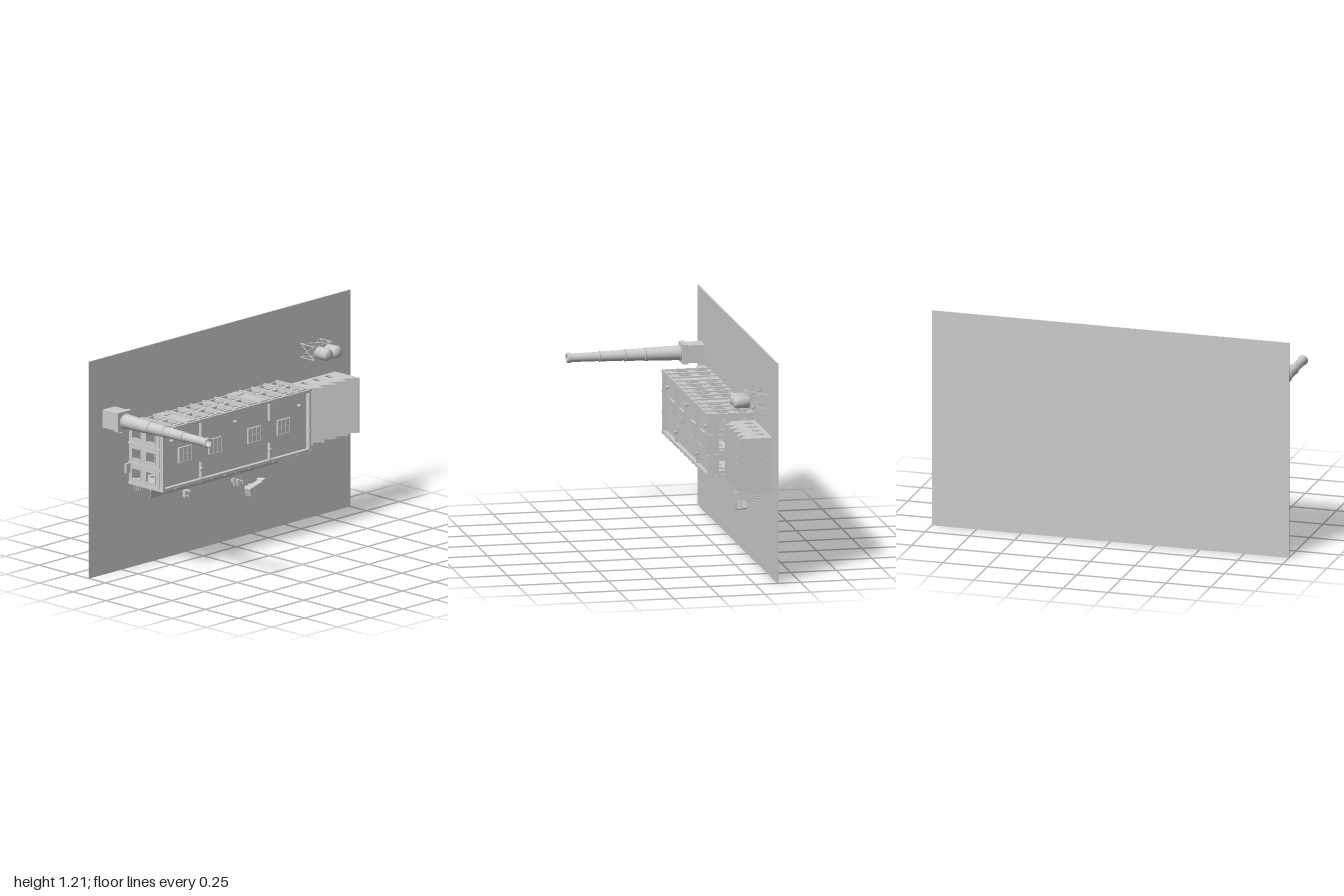
import * as THREE from 'three';

const grey = new THREE.MeshStandardMaterial({ color: 0xcccccc, side: THREE.DoubleSide });
grey.name = 'model grey';
const G = -0.371; // site surface; heights run along +z
const X0 = -0.694, X1 = 0.431, Y0 = 0.476, Y1 = 0.811; // main hall outline
const TOP = -0.112, ROOF = -0.135;
const ROWS = [[-0.345, -0.286], [-0.24, -0.176]];

export function createModel() {
  const root = new THREE.Group();
  root.name = 'factorySite';

  function group(name, parent = root) {
    const g = new THREE.Group();
    g.name = name;
    parent.add(g);
    return g;
  }
  function add(parent, name, geo) {
    const m = new THREE.Mesh(geo, grey);
    m.name = name;
    parent.add(m);
    return m;
  }
  // Box from its limits on each axis
  function box(p, name, x0, x1, y0, y1, z0, z1) {
    const g = new THREE.BoxGeometry(x1 - x0, y1 - y0, z1 - z0);
    g.translate((x0 + x1) / 2, (y0 + y1) / 2, (z0 + z1) / 2);
    return add(p, name, g);
  }
  // Upright (along z) round part from [radius, height] points
  function turned(p, name, x, y, pts, seg = 24) {
    const g = new THREE.LatheGeometry(pts.map(([r, h]) => new THREE.Vector2(r, h)), seg);
    g.rotateX(Math.PI / 2);
    g.translate(x, y, 0);
    return add(p, name, g);
  }
  // Thin bar between two points
  function bar(p, name, a, b, t = 0.004) {
    const A = new THREE.Vector3(...a), B = new THREE.Vector3(...b);
    const m = add(p, name, new THREE.BoxGeometry(t, t, A.distanceTo(B)));
    m.position.copy(A).add(B).multiplyScalar(0.5);
    m.lookAt(B);
    return m;
  }
  // Pierced wall: outline and [u0, u1, z0, z1] openings; along 'x' or along 'y'
  function wall(p, name, outline, holes, axis, at, t) {
    const s = new THREE.Shape(outline.map(([u, v]) => new THREE.Vector2(u, v)));
    for (const [a, b, c, d] of holes) {
      s.holes.push(new THREE.Path([[a, c], [a, d], [b, d], [b, c]].map(q => new THREE.Vector2(...q))));
    }
    const g = new THREE.ExtrudeGeometry(s, { depth: t, bevelEnabled: false });
    if (axis === 'x') { g.rotateX(Math.PI / 2); g.translate(0, at + t, 0); }
    else {
      g.applyMatrix4(new THREE.Matrix4().makeBasis(
        new THREE.Vector3(0, 1, 0), new THREE.Vector3(0, 0, 1), new THREE.Vector3(1, 0, 0)));
      g.translate(at, 0, 0);
    }
    return add(p, name, g);
  }
  const rect = (a, b, c, d) => [[a, c], [b, c], [b, d], [a, d]];

  box(root, 'sitePlate', -1, 1, 0, 1.207, -0.378, G);

  // Main hall: pierced walls with window surrounds, pilasters and cornice
  const hall = group('mainHall');
  const T = 0.01;
  function facade(axis, u0, u1, bays, at, out, blank) {
    const step = (u1 - u0) / bays, holes = [];
    const put = (name, a, b, d0, d1, z0, z1) => {
      const lo = Math.min(at + out * d0, at + out * d1), hi = Math.max(at + out * d0, at + out * d1);
      if (axis === 'x') box(hall, name, a, b, lo, hi, z0, z1);
      else box(hall, name, lo, hi, a, b, z0, z1);
    };
    for (let i = 0; i < bays; i++) {
      const c = u0 + step * (i + 0.5), w = axis === 'x' ? 0.0195 : 0.027;
      if (blank.includes(i)) {
        put('loadingDoor', c - 0.025, c + 0.025, 0, 0.005, G, -0.315);
        continue;
      }
      for (const [a, b] of ROWS) {
        holes.push([c - w, c + w, a, b]);
        put('windowSill', c - w - 0.005, c + w + 0.005, 0, 0.006, a - 0.006, a);
        put('windowLintel', c - w - 0.005, c + w + 0.005, 0, 0.004, b, b + 0.005);
        for (const s of [-1, 1]) {
          put('windowJamb', c + s * (w + 0.002) - 0.002, c + s * (w + 0.002) + 0.002, 0, 0.004, a, b);
        }
      }
    }
    wall(hall, 'hallWall', rect(u0, u1, G, TOP), holes, axis, out > 0 ? at - T : at, T);
    for (let i = 0; i <= bays; i++) {
      const c = u0 + step * i;
      put('pilaster', c - 0.006, c + 0.006, 0, 0.008, G, TOP + 0.002);
    }
    put('cornice', u0, u1, 0, 0.005, -0.146, -0.139);
    put('parapetCap', u0, u1, -T, 0.005, TOP - 0.005, TOP);
  }
  facade('x', X0, X1, 12, Y1, 1, [2, 8]);
  facade('x', X0, X1, 12, Y0, -1, [2, 8]);
  facade('y', Y0, Y1, 3, X0, -1, []);
  facade('y', Y0, Y1, 3, X1, 1, []);
  box(hall, 'roof', X0, X1, Y0, Y1, ROOF - 0.008, ROOF);

  // Roof fittings
  const fittings = group('roofFittings');
  for (const x of [-0.515, -0.285, 0.015, 0.24]) {
    const y = 0.645, h = 0.048;
    box(fittings, 'skylight', x - h, x + h, y - 0.042, y + 0.042, ROOF, ROOF + 0.009);
    for (let i = 0; i < 4; i++) {
      const u = x - h + 0.002 + i * (h - 0.002) * 2 / 3;
      box(fittings, 'skylightBar', u - 0.002, u + 0.002, y - 0.042, y + 0.042, ROOF, ROOF + 0.013);
    }
    for (let i = 0; i < 3; i++) {
      const v = y - 0.04 + i * 0.04;
      box(fittings, 'skylightBar', x - h, x + h, v - 0.002, v + 0.002, ROOF, ROOF + 0.013);
    }
  }
  for (const [x, y] of [[-0.62, 0.738], [-0.135, 0.748], [0.355, 0.738], [-0.397, 0.54], [0.13, 0.54]]) {
    turned(fittings, 'roofVent', x, y,
      [[0.006, ROOF], [0.006, ROOF + 0.012], [0.011, ROOF + 0.012], [0.009, ROOF + 0.02], [0, ROOF + 0.023]], 12);
  }
  for (const x of [-0.397, 0.13]) {
    box(fittings, 'firewallStub', x - 0.004, x + 0.004, 0.7, Y1, ROOF, ROOF + 0.018);
    box(fittings, 'firewallStub', x - 0.004, x + 0.004, Y0, 0.575, ROOF, ROOF + 0.018);
  }

  // Saw-tooth annex
  const annex = group('sawtoothAnnex');
  const SX0 = 0.437, SX1 = 0.885, SY0 = 0.47, SY1 = 0.775, LOW = -0.247, HIGH = -0.188;
  const pitch = (SX1 - SX0) / 5, teeth = [];
  for (let i = 0; i < 5; i++) teeth.push([SX0 + i * pitch, LOW], [SX0 + (i + 1) * pitch, HIGH]);
  const profile = [...teeth, [SX1, G], [SX0, G]];
  const openings = [0.51, 0.603, 0.697, 0.79].map(x => [x - 0.016, x + 0.016, -0.345, -0.297]);
  for (const y of [SY0, SY1 - 0.008]) wall(annex, 'annexSideWall', profile, openings, 'x', y, 0.008);
  const under = teeth.map(([x, z]) => [x - 0.004, z - 0.006]).reverse();
  under[under.length - 1][0] = SX0;
  wall(annex, 'sawtoothRoof', [...teeth, ...under], [], 'x', SY0, SY1 - SY0);
  box(annex, 'annexEndWall', SX1 - 0.008, SX1, SY0, SY1, G, HIGH);
  box(annex, 'annexDoor', SX1, SX1 + 0.003, 0.596, 0.653, -0.367, -0.303);
  box(annex, 'annexDoorRail', SX1, SX1 + 0.005, 0.596, 0.653, -0.337, -0.334);
  for (let i = 1; i < 5; i++) {
    const x = SX0 + i * pitch;
    for (let k = 0; k <= 10; k++) {
      const y = SY0 + 0.002 + k * (SY1 - SY0 - 0.004) / 10;
      box(annex, 'glazingBar', x, x + 0.002, y - 0.0015, y + 0.0015, LOW, HIGH - 0.002);
    }
  }

  // Chimney: square plinth and tapering, banded shaft
  const stack = group('chimney');
  const cx = -0.852, cy = 0.872;
  box(stack, 'plinth', -0.9, -0.804, 0.822, 0.92, G, -0.252);
  box(stack, 'plinthCap', -0.905, -0.799, 0.818, 0.925, -0.275, -0.247);
  turned(stack, 'shaft', cx, cy, [[0.04, -0.247], [0.035, -0.05], [0.033, -0.05], [0.031, 0.06],
    [0.029, 0.06], [0.027, 0.2], [0.025, 0.2], [0.023, 0.352], [0.028, 0.362], [0.028, 0.374],
    [0.025, 0.379], [0.019, 0.379], [0.019, 0.3], [0, 0.3]], 32);
  for (const [z, r] of [[-0.24, 0.043], [-0.05, 0.037], [0.06, 0.033], [0.2, 0.029]]) {
    turned(stack, 'shaftBand', cx, cy, [[r - 0.006, z - 0.003], [r, z - 0.003], [r, z + 0.003], [r - 0.006, z + 0.003]], 32);
  }
  box(root, 'pumpHouse', -0.8, -0.743, 0.778, 0.807, G, -0.322);
  box(root, 'sideStep', -0.73, -0.7, 0.535, 0.587, G, -0.355);

  // Twin tanks on a braced frame
  const tanks = group('waterTanks');
  const fx = [0.62, 0.766], fy = [0.908, 0.983], fz = -0.274;
  for (const x of [0.659, 0.731]) {
    turned(tanks, 'tank', x, 0.945, [[0, fz], [0.034, fz], [0.034, -0.205], [0.029, -0.196], [0.018, -0.19], [0, -0.188]]);
  }
  box(tanks, 'platform', fx[0], fx[1], fy[0], fy[1], fz - 0.004, fz);
  for (const x of fx) {
    for (const y of fy) bar(tanks, 'frameLeg', [x, y, G], [x, y, fz]);
    bar(tanks, 'frameBrace', [x, fy[0], G], [x, fy[1], fz], 0.003);
    bar(tanks, 'frameBrace', [x, fy[1], G], [x, fy[0], fz], 0.003);
  }
  for (const y of fy) {
    bar(tanks, 'frameBrace', [fx[0], y, G], [fx[1], y, fz], 0.003);
    bar(tanks, 'frameBrace', [fx[1], y, G], [fx[0], y, fz], 0.003);
  }
  bar(tanks, 'drainPipe', [0.693, 0.9, G], [0.693, 0.9, fz]);

  // Loading dock with steps, sloping canopy and struts
  const dock = group('loadingDock');
  box(dock, 'dockPlatform', -0.625, 0.355, 0.415, Y0, G, -0.352);
  for (const [a, s] of [[-0.625, -1], [0.355, 1]]) {
    for (let i = 0; i < 3; i++) {
      const e = a + s * 0.011 * (i + 1);
      box(dock, 'dockStep', Math.min(a, e), Math.max(a, e), 0.417, 0.455, G, -0.356 - i * 0.005);
    }
  }
  wall(dock, 'canopy', [[0.388, -0.286], [0.47, -0.273], [0.47, -0.269], [0.388, -0.282]], [], 'y', -0.625, 0.98);
  for (let i = 0; i <= 8; i++) {
    const x = -0.62 + i * 0.97 / 8;
    bar(dock, 'canopyStrut', [x, 0.47, -0.31], [x, 0.425, -0.279], 0.003);
  }

  // Vehicles: truck and two lift trucks
  function vehicle(name, x, y, angle, parts, wheels, r) {
    const g = group(name);
    g.position.set(x, y, G);
    g.rotation.z = angle;
    for (const p of parts) box(g, ...p);
    for (const wx of wheels[0]) for (const s of [-1, 1]) {
      const w = add(g, 'wheel', new THREE.CylinderGeometry(r, r, 0.007, 12));
      w.position.set(wx, s * wheels[1], r);
    }
  }
  vehicle('truck', 0.243, 0.268, 0.26, [
    ['chassis', -0.066, 0.066, -0.016, 0.016, 0.012, 0.018],
    ['cargoBox', -0.069, 0.033, -0.022, 0.022, 0.018, 0.057],
    ['cab', 0.036, 0.069, -0.02, 0.02, 0.014, 0.045],
  ], [[-0.048, -0.02, 0.05], 0.017], 0.011);
  for (const [x, y, a] of [[-0.275, 0.335, 1.57], [0.115, 0.315, 0.2]]) {
    vehicle('liftTruck', x, y, a, [
      ['body', -0.022, 0.014, -0.012, 0.012, 0.006, 0.024],
      ['cabRoof', -0.016, 0.01, -0.011, 0.011, 0.042, 0.045],
      ['cabPosts', -0.014, -0.01, -0.009, 0.009, 0.024, 0.042],
      ['mast', 0.014, 0.018, -0.01, 0.01, 0.004, 0.048],
      ['leftFork', 0.018, 0.04, 0.004, 0.008, 0.004, 0.007],
      ['rightFork', 0.018, 0.04, -0.008, -0.004, 0.004, 0.007],
    ], [[-0.014, 0.008], 0.011], 0.007);
  }
  box(root, 'crate', 0.085, 0.105, 0.322, 0.338, G, -0.353);

  // Workers
  for (const [x, y] of [[0.543, 0.38], [0.555, 0.373]]) {
    turned(root, 'worker', x, y, [[0.004, G], [0.005, G + 0.013], [0.002, G + 0.015], [0.003, G + 0.018], [0, G + 0.021]], 8);
  }
  return root;
}
